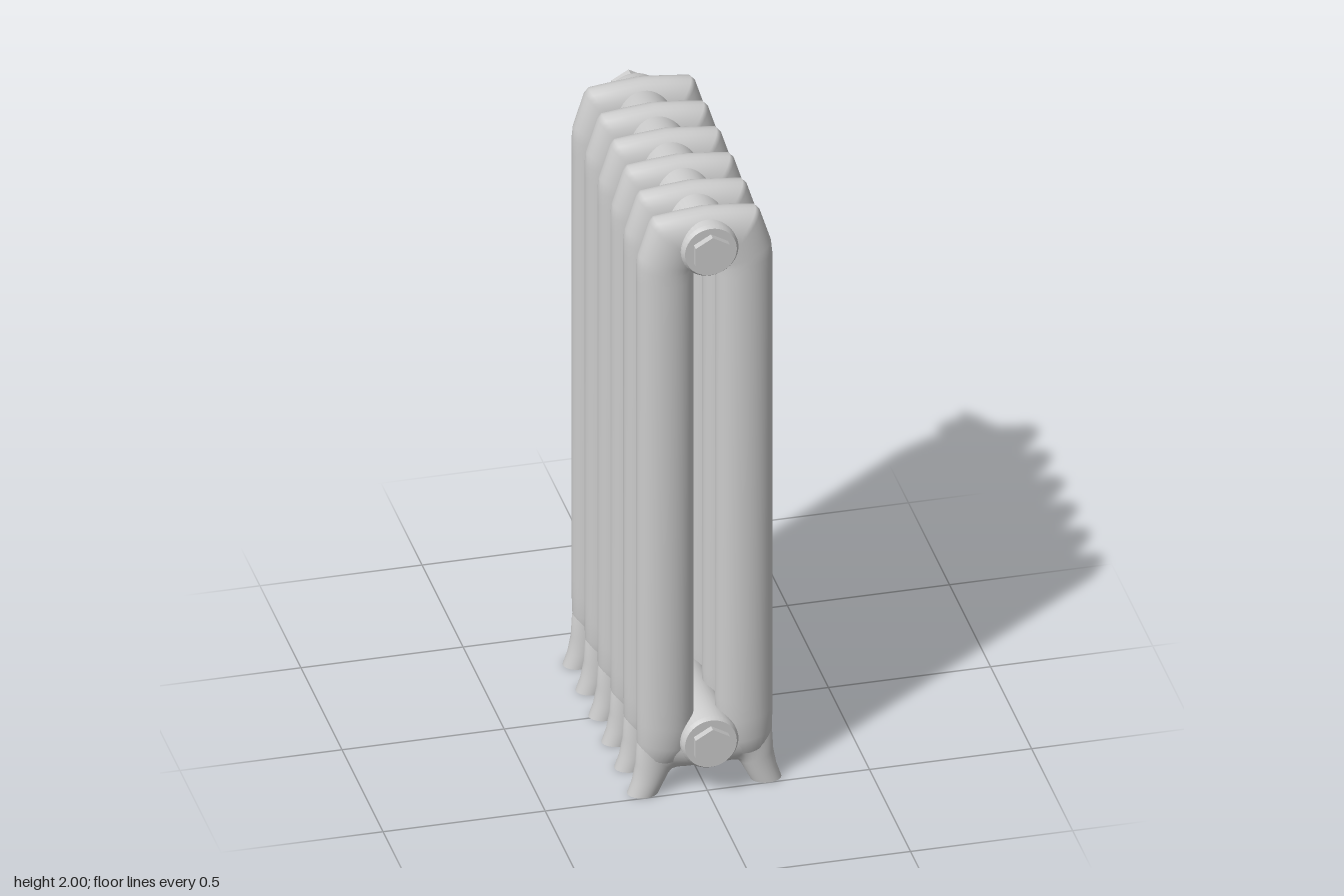
import * as THREE from 'three';
import { toCreasedNormals } from 'three/addons/utils/BufferGeometryUtils.js';

const grey = new THREE.MeshStandardMaterial({ color: 0xcccccc });
const SECTIONS = 6, PITCH = 0.157, FIRST_Z = 0.462;
const TOP_Y = 1.89, LOW_Y = 0.186;

function add(parent, name, geometry, x = 0, y = 0, z = 0) {
  const mesh = new THREE.Mesh(geometry, grey);
  mesh.name = name;
  mesh.position.set(x, y, z);
  parent.add(mesh);
  return mesh;
}

// Lofts elliptical rings; each station is [outerX, outerY, innerX, innerY, halfDepth].
function loft(stations, sides = 28) {
  const pos = [], index = [];
  const ring = ([ox, oy, ix, iy, d]) => {
    for (let j = 0; j < sides; j++) {
      const t = (j / sides) * Math.PI * 2, k = (1 + Math.cos(t)) / 2;
      pos.push(ix + (ox - ix) * k, iy + (oy - iy) * k, d * Math.sin(t));
    }
  };
  stations.forEach(ring);
  for (let i = 0; i < stations.length - 1; i++) {
    for (let j = 0; j < sides; j++) {
      const a = i * sides + j, b = i * sides + (j + 1) % sides;
      index.push(a, a + sides, b, b, a + sides, b + sides);
    }
  }
  // flat ends with their own vertices, so their rims stay sharp
  [stations[0], stations[stations.length - 1]].forEach((s, end) => {
    const base = pos.length / 3;
    ring(s);
    for (let j = 1; j < sides - 1; j++) {
      if (end) index.push(base, base + j + 1, base + j);
      else index.push(base, base + j, base + j + 1);
    }
  });
  const g = new THREE.BufferGeometry();
  g.setAttribute('position', new THREE.Float32BufferAttribute(pos, 3));
  g.setIndex(index);
  g.computeVertexNormals();
  return g;
}

// Completes a half path ending at x = 0 with its mirror image.
const mirrored = (half) => [
  ...half,
  ...half.slice(0, -1).reverse().map(([ox, oy, ix, iy, d]) => [-ox, oy, -ix, iy, d]),
];

// Turned part along z from [radius, z] points in rising z.
function turned(points, sides = 40) {
  const g = new THREE.LatheGeometry(points.map(([r, z]) => new THREE.Vector2(r, z)), sides);
  return toCreasedNormals(g.rotateX(Math.PI / 2), 0.6);
}

function hexagon(radius, length) {
  const g = new THREE.CylinderGeometry(radius, radius, length, 6);
  return toCreasedNormals(g.rotateX(Math.PI / 2), 0.5);
}

export function createModel() {
  const model = new THREE.Group();
  model.name = 'radiator';

  // two columns joined by a shouldered head
  const columns = loft(mirrored([
    [0.185, 0.09, 0.10, 0.09, 0.025],
    [0.200, 0.13, 0.07, 0.11, 0.045],
    [0.208, 0.18, 0.045, 0.15, 0.057],
    [0.209, 0.25, 0.035, 0.22, 0.061],
    [0.209, 0.30, 0.034, 0.30, 0.061],
    [0.209, 1.77, 0.034, 1.77, 0.061],
    [0.209, 1.82, 0.034, 1.795, 0.061],
    [0.205, 1.86, 0.032, 1.805, 0.061],
    [0.170, 1.970, 0.029, 1.812, 0.061],
    [0.157, 1.984, 0.025, 1.815, 0.061],
    [0.080, 1.993, 0.015, 1.818, 0.061],
    [0, 2.0, 0, 1.82, 0.061],
  ]));

  // flared feet joined by a low arch
  const feet = loft(mirrored([
    [0.237, 0, 0.143, 0, 0.039],
    [0.222, 0.045, 0.123, 0.040, 0.039],
    [0.212, 0.10, 0.110, 0.065, 0.040],
    [0.208, 0.17, 0.100, 0.075, 0.042],
    [0.185, 0.235, 0.085, 0.077, 0.046],
    [0.100, 0.22, 0.055, 0.077, 0.050],
    [0, 0.21, 0, 0.077, 0.052],
  ]));

  for (let i = 0; i < SECTIONS; i++) {
    const section = new THREE.Group();
    section.name = `section${i + 1}`;
    section.position.z = FIRST_Z - i * PITCH;
    add(section, 'columns', columns);
    add(section, 'feet', feet);
    model.add(section);
  }

  // headers running through all sections, with plugs at the front
  for (const [name, y, back] of [['topHeader', TOP_Y, -0.402], ['bottomHeader', LOW_Y, -0.416]]) {
    add(model, name, turned([
      [0, back], [0.082, back], [0.088, back + 0.014], [0.088, 0.532], [0.08, 0.544], [0, 0.544],
    ]), 0, y);
    add(model, name + 'Plug', hexagon(0.061, 0.04), 0, y, 0.547);
  }

  // bleed valve at the top back
  add(model, 'bleedCollar', turned([[0, -0.437], [0.05, -0.437], [0.05, -0.39], [0, -0.39]]), 0, TOP_Y);
  add(model, 'bleedPlug', hexagon(0.061, 0.028), 0, TOP_Y, -0.448);
  add(model, 'bleedPin', turned([
    [0, -0.501], [0.007, -0.499], [0.014, -0.489], [0.014, -0.480], [0.007, -0.474], [0.007, -0.455],
  ], 16), 0.012, TOP_Y + 0.025);

  // supply valve at the bottom back
  add(model, 'valveCollar', turned([[0, -0.44], [0.052, -0.44], [0.055, -0.40], [0, -0.40]]), 0, LOW_Y);
  add(model, 'valveNut', hexagon(0.062, 0.027), 0, LOW_Y, -0.4515);
  add(model, 'valveNeck', turned([[0.026, -0.535], [0.022, -0.515], [0.022, -0.49], [0.028, -0.46]], 24), 0, LOW_Y);
  add(model, 'valveKnob', turned([
    [0, -0.566], [0.051, -0.566], [0.054, -0.561], [0.054, -0.532], [0.05, -0.528], [0, -0.528],
  ]), 0, LOW_Y);

  return model;
}
